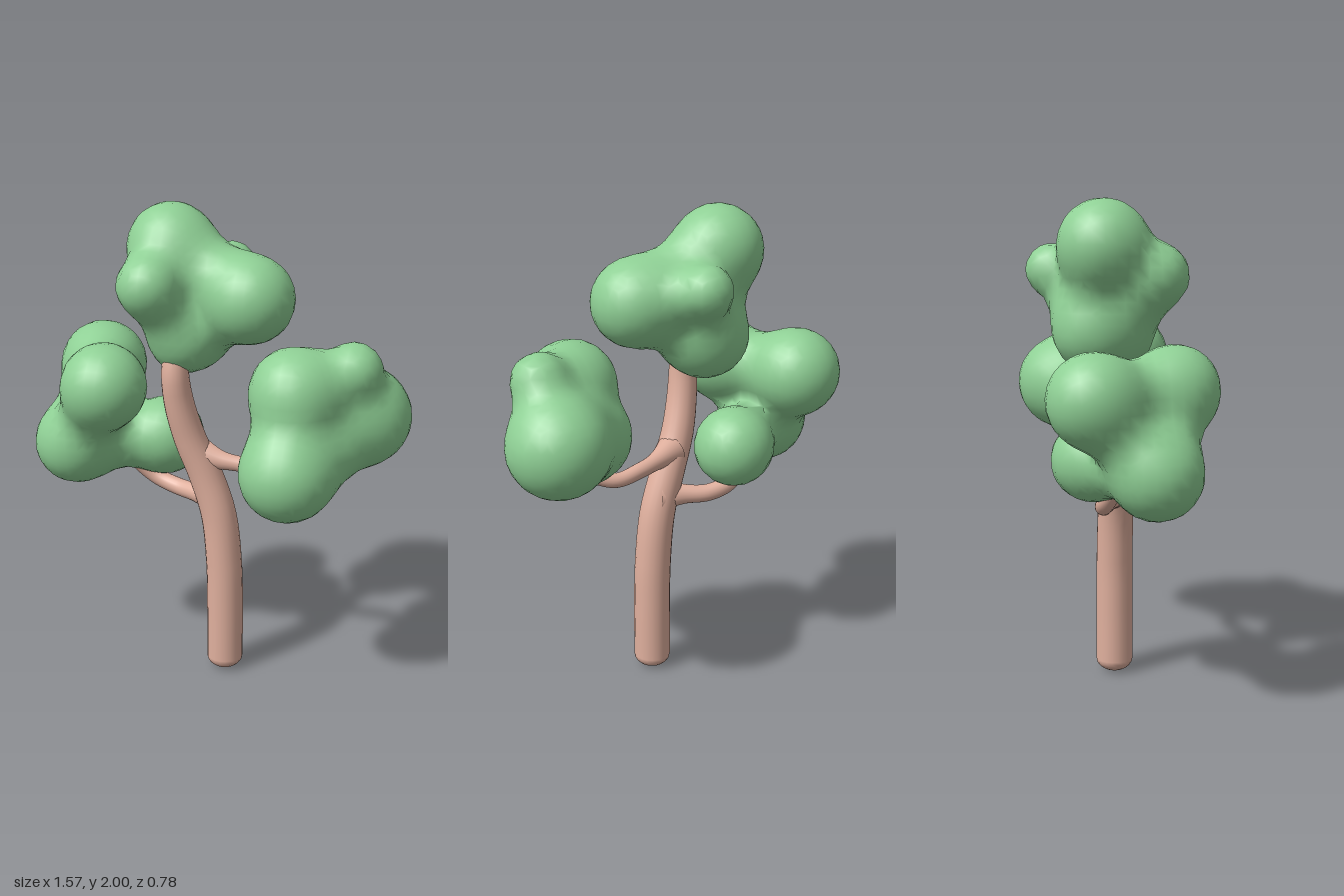
import * as THREE from 'three';

const V = (p) => new THREE.Vector3(p[0], p[1], p[2]);

// Distance to a tapered capsule between balls a and b ([x, y, z, radius])
function linkDistance(p, a, b, thickness) {
  const d = [0, 1, 2].map((i) => b[i] - a[i]);
  const len2 = d[0] ** 2 + d[1] ** 2 + d[2] ** 2;
  let t = 0;
  for (let i = 0; i < 3; i++) t += (p[i] - a[i]) * d[i] / len2;
  t = Math.min(1, Math.max(0, t));
  const r = (a[3] + (b[3] - a[3]) * t) * thickness;
  return Math.hypot(...[0, 1, 2].map((i) => p[i] - a[i] - d[i] * t)) - r;
}

function smoothMin(a, b, k) {
  const h = Math.max(k - Math.abs(a - b), 0) / k;
  return Math.min(a, b) - h * h * k / 4;
}

// Blended blob surface around balls and the links joining them (surface nets)
function blobGeometry(balls, links, thickness, cell = 0.045) {
  const field = (p) => {
    let d = 9;
    for (const b of balls) d = smoothMin(d, Math.hypot(p[0] - b[0], p[1] - b[1], p[2] - b[2]) - b[3], 0.07);
    for (const [i, j] of links) d = smoothMin(d, linkDistance(p, balls[i], balls[j], thickness), 0.07);
    return d;
  };
  const lo = [0, 1, 2].map((i) => Math.min(...balls.map((b) => b[i] - b[3])) - 0.1);
  const hi = [0, 1, 2].map((i) => Math.max(...balls.map((b) => b[i] + b[3])) + 0.1);
  const n = lo.map((v, i) => Math.ceil((hi[i] - v) / cell) + 1);
  const id = (x, y, z) => x + n[0] * (y + n[1] * z);
  const point = (g) => g.map((v, i) => lo[i] + v * cell);
  const each = (from, fn) => {
    for (let z = from; z < n[2] - 1; z++)
      for (let y = from; y < n[1] - 1; y++)
        for (let x = from; x < n[0] - 1; x++) fn([x, y, z]);
  };
  const val = new Float32Array(n[0] * n[1] * n[2]);
  for (let z = 0; z < n[2]; z++)
    for (let y = 0; y < n[1]; y++)
      for (let x = 0; x < n[0]; x++) val[id(x, y, z)] = field(point([x, y, z]));

  const positions = [], normals = [], index = [], vertexOf = new Map();
  const gradient = (p) => {
    const e = 0.01;
    return new THREE.Vector3(...[0, 1, 2].map((i) => {
      const a = [...p], b = [...p];
      a[i] += e;
      b[i] -= e;
      return field(a) - field(b);
    })).normalize();
  };
  // One vertex per cell crossed by the surface
  each(0, (g) => {
    const sum = [0, 0, 0];
    let count = 0;
    for (let a = 0; a < 3; a++) for (let c = 0; c < 4; c++) {
      const s = [...g];
      s[(a + 1) % 3] += c & 1;
      s[(a + 2) % 3] += c >> 1;
      const e = [...s];
      e[a] += 1;
      const f0 = val[id(...s)], f1 = val[id(...e)];
      if ((f0 < 0) === (f1 < 0)) continue;
      s[a] += f0 / (f0 - f1);
      for (let i = 0; i < 3; i++) sum[i] += s[i];
      count++;
    }
    if (!count) return;
    let p = point(sum.map((v) => v / count));
    const grad = gradient(p), d = field(p);
    p = [p[0] - grad.x * d, p[1] - grad.y * d, p[2] - grad.z * d];
    vertexOf.set(id(...g), positions.length / 3);
    positions.push(...p);
    normals.push(...gradient(p).toArray());
  });
  // One quad per grid edge crossed by the surface
  each(1, (g) => {
    for (let a = 0; a < 3; a++) {
      const e = [...g];
      e[a] += 1;
      const inside = val[id(...g)] < 0;
      if (inside === (val[id(...e)] < 0)) continue;
      const q = [[1, 1], [0, 1], [0, 0], [1, 0]].map(([u, v]) => {
        const c = [...g];
        c[(a + 1) % 3] -= u;
        c[(a + 2) % 3] -= v;
        return vertexOf.get(id(...c));
      });
      if (!inside) q.reverse();
      index.push(q[0], q[1], q[2], q[0], q[2], q[3]);
    }
  });
  const geo = new THREE.BufferGeometry();
  geo.setAttribute('position', new THREE.Float32BufferAttribute(positions, 3));
  geo.setAttribute('normal', new THREE.Float32BufferAttribute(normals, 3));
  geo.setIndex(index);
  return geo;
}

// Tube whose radius follows radiusAt(t) along a smooth path
function taperedTube(points, radiusAt, segments = 32, sides = 20) {
  const curve = new THREE.CatmullRomCurve3(points.map(V));
  const geo = new THREE.TubeGeometry(curve, segments, 1, sides);
  const pos = geo.attributes.position, v = new THREE.Vector3();
  for (let i = 0; i < pos.count; i++) {
    const t = Math.floor(i / (sides + 1)) / segments;
    const c = curve.getPointAt(t);
    v.fromBufferAttribute(pos, i).sub(c).multiplyScalar(radiusAt(t)).add(c);
    pos.setXYZ(i, v.x, v.y, v.z);
  }
  return geo;
}

export function createModel() {
  const bark = new THREE.MeshStandardMaterial({ color: 0xe0b09e });
  bark.name = 'bark';
  const leaf = new THREE.MeshStandardMaterial({ color: 0x8fd095 });
  leaf.name = 'leaf';
  const model = new THREE.Group();
  model.name = 'tree';
  const add = (name, geo, mat) => {
    const mesh = new THREE.Mesh(geo, mat);
    mesh.name = name;
    model.add(mesh);
    return mesh;
  };

  // Curved trunk with a rounded foot
  add('trunk', taperedTube([
    [0.047, 0.06, -0.007], [0.047, 0.3, -0.007], [0.042, 0.5, -0.007], [0.017, 0.72, -0.007],
    [-0.042, 0.9, -0.004], [-0.102, 1.05, 0.01], [-0.14, 1.2, 0.03], [-0.154, 1.33, 0.04], [-0.155, 1.43, 0.02],
  ], (t) => 0.077 - 0.025 * t ** 3), bark);
  const foot = add('trunkFoot', new THREE.SphereGeometry(0.077, 20, 12), bark);
  foot.scale.y = 0.7;
  foot.position.set(0.047, 0.06, -0.007);

  // Side branches, flared where they leave the trunk
  const flare = (t) => 0.036 - 0.008 * t + 0.035 * Math.max(0, 1 - t * 3) ** 2;
  add('leftBranch', taperedTube([
    [-0.06, 0.98, -0.005], [0.03, 0.955, -0.02], [0.13, 0.94, -0.035], [0.25, 0.925, -0.03], [0.36, 0.96, 0.03],
  ], flare), bark);
  add('rightBranch', taperedTube([
    [0.015, 0.79, -0.005], [-0.08, 0.785, -0.045], [-0.19, 0.782, -0.095], [-0.3, 0.815, -0.11], [-0.42, 0.93, -0.07],
  ], (t) => flare(t) + 0.004), bark);

  // Foliage clumps: balls [x, y, z, radius] and the pairs joined together
  add('topFoliage', blobGeometry([
    [-0.213, 1.822, -0.1, 0.174], [0.143, 1.65, -0.03, 0.169], [-0.14, 1.49, -0.115, 0.163],
    [-0.24, 1.705, 0.105, 0.112], [-0.015, 1.72, -0.275, 0.087], [-0.14, 1.47, -0.03, 0.135],
  ], [[0, 2], [1, 2], [0, 3], [2, 3], [2, 4], [1, 4], [0, 1], [3, 5]], 0.8), leaf);
  add('rightFoliage', blobGeometry([
    [-0.43, 1.28, 0.135, 0.174], [-0.565, 1.27, -0.203, 0.18], [-0.6, 0.99, 0.03, 0.173], [-0.27, 0.99, -0.155, 0.164],
  ], [[0, 2], [1, 2], [2, 3], [0, 1]], 0.74), leaf);
  add('leftFoliage', blobGeometry([
    [0.37, 1.02, 0.205, 0.172], [0.37, 1.32, 0.1, 0.158], [0.585, 1.18, -0.125, 0.175],
    [0.58, 1.405, 0, 0.09], [0.385, 1.14, -0.005, 0.178],
  ], [[0, 1], [0, 2], [1, 2], [1, 3], [2, 3], [2, 4]], 0.96), leaf);
  return model;
}
